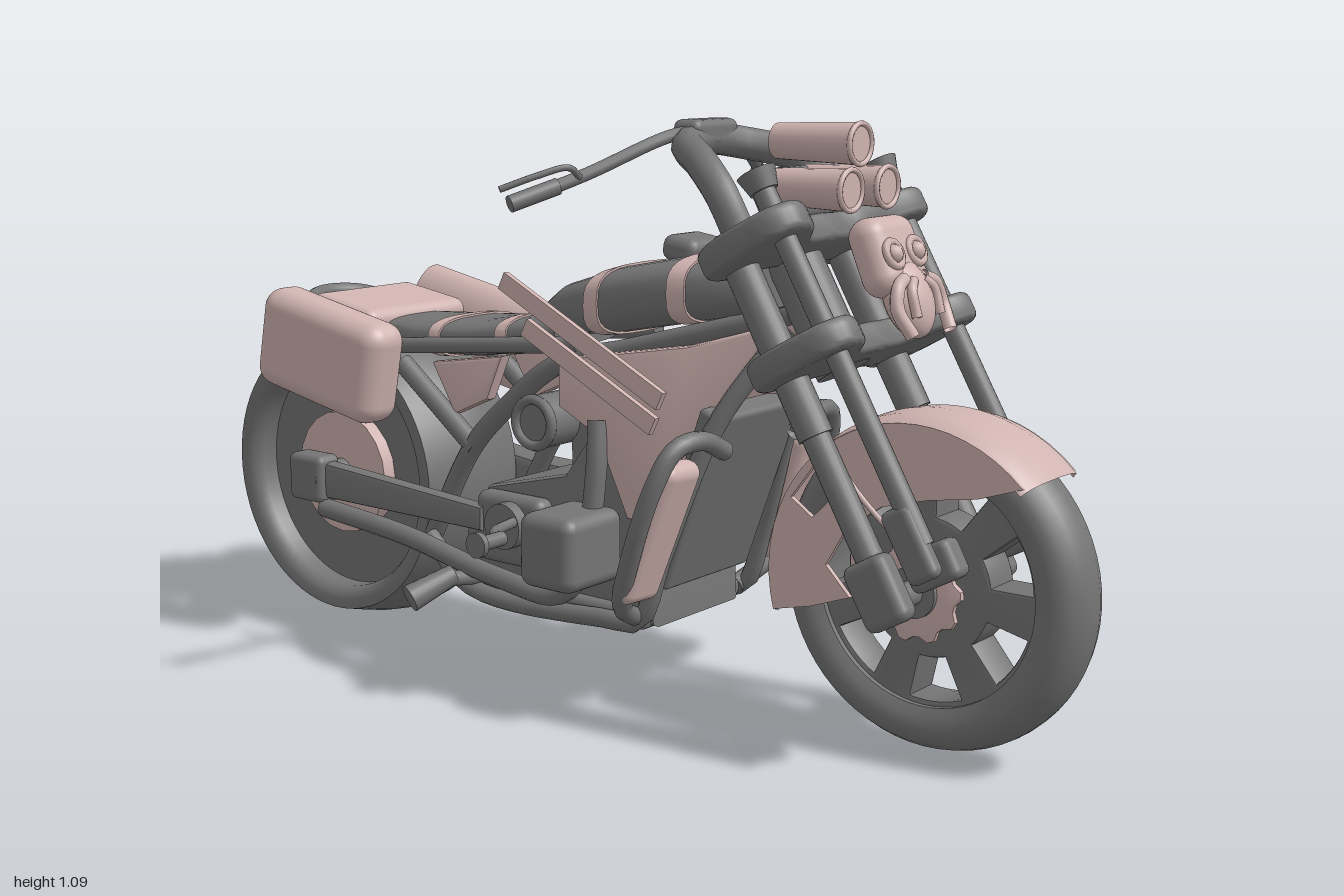
import * as THREE from 'three';
import { toCreasedNormals } from 'three/addons/utils/BufferGeometryUtils.js';
import { RoundedBoxGeometry } from 'three/addons/geometries/RoundedBoxGeometry.js';

const V = (p) => new THREE.Vector3(...p);
const dark = new THREE.MeshStandardMaterial({ color: 0x757575, side: THREE.DoubleSide });
const pink = new THREE.MeshStandardMaterial({ color: 0xcfb3b0, side: THREE.DoubleSide });

function add(parent, name, geo, mat = dark, pos = [0, 0, 0], rot = [0, 0, 0]) {
  const m = new THREE.Mesh(geo, mat);
  m.name = name;
  m.position.set(...pos);
  m.rotation.set(...rot);
  parent.add(m);
  return m;
}
// straight round bar between two points
function bar(parent, name, a, b, r0, r1 = r0, mat = dark) {
  const d = V(b).sub(V(a));
  const m = add(parent, name, new THREE.CylinderGeometry(r1, r0, d.length(), 20), mat);
  m.position.copy(V(a).add(V(b)).multiplyScalar(0.5));
  m.quaternion.setFromUnitVectors(V([0, 1, 0]), d.normalize());
  return m;
}
// bent pipe through points
const pipe = (parent, name, pts, r, mat = dark) =>
  add(parent, name, new THREE.TubeGeometry(new THREE.CatmullRomCurve3(pts.map(V), false, 'centripetal'), 32, r, 10), mat);
// side outline given in (z, y), with its thickness centred on x
function slab(parent, name, pts, x, depth, mat = dark, bevel = 0.008, holes = []) {
  const s = new THREE.Shape(pts.map((p) => new THREE.Vector2(...p)));
  for (const h of holes) s.holes.push(new THREE.Path(h.map((p) => new THREE.Vector2(...p))));
  const g = new THREE.ExtrudeGeometry(s, { depth: depth - 2 * bevel, bevelEnabled: bevel > 0, bevelSize: bevel, bevelThickness: bevel, bevelOffset: -bevel, bevelSegments: 2 });
  g.translate(0, 0, bevel - depth / 2).rotateY(-Math.PI / 2);
  return add(parent, name, toCreasedNormals(g, 0.6), mat, [x, 0, 0]);
}
// body lofted through [z, bottom, top, half width] sections, front to back
function loft(sections, grow = 0) {
  const N = 28, pos = [], idx = [], e = 0.65;
  const pw = (v) => Math.sign(v) * Math.abs(v) ** e;
  const rings = [[...sections[0], 0], ...sections.map((s) => [...s, 1]), [...sections.at(-1), 0]];
  rings.forEach(([z, lo, hi, w, k], i) => {
    for (let j = 0; j <= N; j++) {
      const t = (j / N) * Math.PI * 2;
      pos.push(k * (w + grow) * pw(Math.cos(t)), (lo + hi) / 2 + k * ((hi - lo) / 2 + grow) * pw(Math.sin(t)), z);
      if (i < rings.length - 1 && j < N) {
        const a = i * (N + 1) + j, c = a + N + 1;
        idx.push(a, c, a + 1, a + 1, c, c + 1);
      }
    }
  });
  const g = new THREE.BufferGeometry();
  g.setAttribute('position', new THREE.Float32BufferAttribute(pos, 3));
  g.setIndex(idx);
  return toCreasedNormals(g.toNonIndexed(), 0.7);
}
// thin slice of a loft, slightly larger than the body
function band(sections, z0, z1) {
  const at = (z) => {
    const i = Math.max(1, sections.findIndex((s) => s[0] <= z));
    const a = sections[i - 1], b = sections[i], t = (z - a[0]) / (b[0] - a[0]);
    return a.map((v, k) => v + (b[k] - v) * t);
  };
  return loft([at(z0), at(z1)], 0.004);
}
// tyre from one half of its section, as [radius, half width] from bead to crown
function tyre(half) {
  const pts = [...half.map(([r, w]) => [r, -w]), ...half.slice(0, -1).reverse(), [half[0][0], -half[0][1]]];
  const g = new THREE.LatheGeometry(pts.map((p) => new THREE.Vector2(...p)), 64).rotateZ(Math.PI / 2);
  return toCreasedNormals(g.toNonIndexed(), 0.75);
}
const polar = (r, a) => [r * Math.cos(a), r * Math.sin(a)];
const arc = (r, a, b, n) => Array.from({ length: n + 1 }, (_, i) => polar(r, a + ((b - a) * i) / n));

export function createModel() {
  const bike = new THREE.Group();
  bike.name = 'motorcycle';
  const sides = [1, -1];

  // front wheel with seven window openings
  const front = new THREE.Group();
  front.name = 'frontWheel';
  front.position.set(0, 0.303, 0.706);
  bike.add(front);
  add(front, 'frontTyre', tyre([[0.21, 0.05], [0.225, 0.06], [0.245, 0.067], [0.262, 0.063], [0.277, 0.051], [0.287, 0.035], [0.293, 0.016], [0.294, 0]]));
  const windows = Array.from({ length: 7 }, (_, i) => {
    const a = -Math.PI / 2 + 0.12 + (i * Math.PI * 2) / 7;
    return [...arc(0.2, a - 0.25, a + 0.25, 6), ...arc(0.125, a + 0.2, a - 0.2, 4)];
  });
  slab(front, 'frontRim', arc(0.225, 0, Math.PI * 2, 48).slice(0, 48), 0, 0.08, dark, 0.006, windows);
  bar(front, 'frontAxle', [-0.2, 0, 0], [0.2, 0, 0], 0.022);
  bar(front, 'frontHub', [-0.09, 0, 0], [0.09, 0, 0], 0.045);
  const teeth = Array.from({ length: 40 }, (_, i) => polar(i % 4 < 2 ? 0.09 : 0.079, (i / 40) * Math.PI * 2));
  for (const s of sides) {
    slab(front, 'brakeDisc', teeth, s * 0.075, 0.012, pink, 0.002);
    add(front, 'brakeCaliper', new RoundedBoxGeometry(0.05, 0.07, 0.1, 2, 0.015), dark, [s * 0.135, 0.07, 0.07], [-0.5, 0, 0]);
    // fender cheek with one opening
    slab(front, 'fenderCheek', [...arc(0.29, 0.8, 3.42, 24), [-0.2, -0.06], [-0.12, -0.03], [-0.17, 0.02], [-0.13, 0.09], [-0.06, 0.14], [0.03, 0.165], [0.12, 0.18]],
      s * 0.088, 0.01, pink, 0, [[[-0.16, 0.14], [-0.2, 0.19], [-0.245, 0.13], [-0.2, 0.1]]]);
  }
  const fender = [[0.278, -0.093], [0.292, -0.085], [0.301, -0.05], [0.304, 0], [0.301, 0.05], [0.292, 0.085], [0.278, 0.093]].map((p) => new THREE.Vector2(...p));
  add(front, 'frontFender', new THREE.LatheGeometry(fender, 36, 0.78, 2.65).rotateZ(Math.PI / 2), pink);

  // rear wheel with deep-set dish
  const rear = new THREE.Group();
  rear.name = 'rearWheel';
  rear.position.set(0, 0.318, -0.682);
  bike.add(rear);
  add(rear, 'rearTyre', tyre([[0.245, 0.105], [0.255, 0.122], [0.27, 0.129], [0.29, 0.13], [0.301, 0.09], [0.312, 0.045], [0.318, 0]]));
  bar(rear, 'rearDish', [-0.07, 0, 0], [0.07, 0, 0], 0.25);
  bar(rear, 'rearAxle', [-0.2, 0, 0], [0.2, 0, 0], 0.03);
  bar(rear, 'rearSprocket', [-0.1, 0, 0], [-0.06, 0, 0], 0.13, 0.13, pink);

  // fork, built upright along its own axis and raked back
  const fork = new THREE.Group();
  fork.name = 'fork';
  fork.position.copy(front.position);
  fork.rotation.x = -Math.PI / 6;
  bike.add(fork);
  const half = [[0, 0.1], [0.07, 0.1], [0.13, 0.15], [0.19, 0.175], [0.235, 0.15], [0.25, 0.1], [0.25, 0.02], [0.22, -0.035], [0.16, -0.05], [0.08, -0.02], [0, -0.02]];
  const loop = [...half, ...half.slice(1, -1).reverse().map(([x, z]) => [-x, z])].map(([x, z]) => V([x, z, 0]));
  const outline = new THREE.CatmullRomCurve3(loop, true).getPoints(72).slice(0, 72).map((p) => new THREE.Vector2(p.x, p.y));
  for (const y of [0.662, 0.452]) {
    const g = new THREE.ExtrudeGeometry(new THREE.Shape(outline), { depth: 0.024, bevelSize: 0.015, bevelThickness: 0.015, bevelOffset: -0.015, bevelSegments: 4 });
    add(fork, 'forkClamp', toCreasedNormals(g.rotateX(Math.PI / 2), 0.7), dark, [0, y - 0.012, 0]);
  }
  bar(fork, 'steeringHead', [0, 0.4, 0], [0, 0.66, 0], 0.05);
  for (const s of sides) {
    bar(fork, 'frontForkTube', [s * 0.19, 0.06, 0.125], [s * 0.19, 0.72, 0.125], 0.02);
    bar(fork, 'forkCap', [s * 0.19, 0.7, 0.125], [s * 0.19, 0.735, 0.125], 0.025, 0.035);
    bar(fork, 'rearForkTube', [s * 0.16, 0.03, 0], [s * 0.16, 0.68, 0], 0.025);
    bar(fork, 'forkSleeve', [s * 0.16, 0.3, 0], [s * 0.16, 0.62, 0], 0.031);
    add(fork, 'forkFoot', new RoundedBoxGeometry(0.05, 0.12, 0.09, 2, 0.018), dark, [s * 0.175, 0.02, 0]);
    add(fork, 'forkToe', new RoundedBoxGeometry(0.035, 0.13, 0.06, 2, 0.014), dark, [s * 0.195, 0.07, 0.11]);
  }

  // horned mask between the clamps
  const mask = new THREE.Group();
  mask.name = 'faceMask';
  mask.position.set(0, 0.82, 0.605);
  mask.rotation.x = -0.4;
  bike.add(mask);
  add(mask, 'maskBrow', new RoundedBoxGeometry(0.145, 0.14, 0.07, 5, 0.034), pink, [0, 0.04, 0]);
  add(mask, 'maskMuzzle', new THREE.SphereGeometry(0.055, 20, 14).scale(0.95, 1.3, 0.7), pink, [0, -0.04, 0.012]);
  for (const s of sides) {
    add(mask, 'maskEyeRing', new THREE.TorusGeometry(0.022, 0.007, 8, 20), pink, [s * 0.036, 0.035, 0.035]);
    add(mask, 'maskEye', new THREE.SphereGeometry(0.017, 14, 10), pink, [s * 0.036, 0.035, 0.034]);
    pipe(mask, 'maskTusk', [[s * 0.03, -0.01, 0.035], [s * 0.06, -0.025, 0.036], [s * 0.073, -0.06, 0.03], [s * 0.062, -0.11, 0.035]], 0.012, pink);
    pipe(mask, 'maskInnerTusk', [[s * 0.015, -0.015, 0.042], [s * 0.035, -0.035, 0.045], [s * 0.038, -0.08, 0.04]], 0.009, pink);
  }

  // three tubular lamps
  for (const [x, y, z] of [[0, 1.045, 0.54], [0.058, 0.97, 0.56], [-0.058, 0.97, 0.56]]) {
    bar(bike, 'lampTube', [x, y, z - 0.18], [x, y, z - 0.01], 0.032, 0.037, pink);
    add(bike, 'lampRim', new THREE.TorusGeometry(0.035, 0.005, 8, 24), pink, [x, y, z - 0.01]);
  }
  add(bike, 'lampBracket', new RoundedBoxGeometry(0.17, 0.1, 0.06, 2, 0.02), dark, [0, 0.95, 0.39], [-0.5, 0, 0]);

  // handlebar, grips and levers
  pipe(bike, 'handlebarRiser', [[0.16, 0.88, 0.4], [0.168, 0.96, 0.36], [0.145, 1.01, 0.3], [0.08, 1.035, 0.22], [0, 1.045, 0.2],
    [-0.08, 1.035, 0.22], [-0.145, 1.01, 0.3], [-0.168, 0.96, 0.36], [-0.16, 0.88, 0.4]], 0.03);
  add(bike, 'handlebarClamp', new RoundedBoxGeometry(0.13, 0.05, 0.06, 2, 0.015), dark, [0, 1.055, 0.2]);
  for (const s of sides) {
    pipe(bike, 'handlebar', [[0, 1.06, 0.2], [s * 0.1, 1.05, 0.19], [s * 0.25, 0.99, 0.13], [s * 0.37, 0.945, 0.07]], 0.012);
    bar(bike, 'grip', [s * 0.3, 0.97, 0.105], [s * 0.38, 0.942, 0.065], 0.015);
    pipe(bike, 'lever', [[s * 0.27, 0.985, 0.13], [s * 0.3, 1.003, 0.13], [s * 0.35, 0.99, 0.1], [s * 0.4, 0.968, 0.06]], 0.006);
  }

  // tank and seat with contrasting bands
  const tank = [[0.37, 0.75, 0.83, 0.08], [0.33, 0.735, 0.84, 0.11], [0.2, 0.71, 0.835, 0.135], [0.05, 0.68, 0.805, 0.14], [-0.06, 0.665, 0.77, 0.125], [-0.11, 0.68, 0.735, 0.1]];
  add(bike, 'tank', loft(tank));
  add(bike, 'tankBand', band(tank, 0.25, 0.215), pink);
  add(bike, 'tankBand', band(tank, 0.06, 0.025), pink);
  add(bike, 'fillerCap', new RoundedBoxGeometry(0.11, 0.05, 0.08, 2, 0.02), dark, [0.02, 0.84, 0.16], [0.15, 0, 0]);
  const seat = [[-0.08, 0.64, 0.705, 0.1], [-0.16, 0.625, 0.695, 0.115], [-0.3, 0.6, 0.675, 0.115], [-0.45, 0.59, 0.665, 0.115], [-0.54, 0.6, 0.66, 0.1]];
  add(bike, 'seat', loft(seat));
  add(bike, 'seatBand', band(seat, -0.19, -0.22), pink);
  add(bike, 'seatBand', band(seat, -0.37, -0.4), pink);
  add(bike, 'tailBox', new RoundedBoxGeometry(0.29, 0.07, 0.19, 4, 0.025), pink, [0, 0.655, -0.635], [0.15, 0, 0]);
  pipe(bike, 'grabRail', [[0.12, 0.63, -0.55], [0.115, 0.655, -0.7], [0.07, 0.68, -0.79], [0, 0.685, -0.815], [-0.07, 0.68, -0.79], [-0.115, 0.655, -0.7], [-0.12, 0.63, -0.55]], 0.015);

  // luggage: oval tube on one side, rounded case on the other
  const tube = new THREE.Group();
  tube.name = 'luggageTube';
  tube.position.set(0.225, 0.597, -0.575);
  tube.rotation.x = 0.19;
  tube.scale.x = 0.63;
  bike.add(tube);
  add(tube, 'luggageTubeWall', new THREE.CylinderGeometry(0.103, 0.103, 0.325, 40, 1, true).rotateX(Math.PI / 2), pink);
  for (const s of sides) add(tube, 'luggageTubeEnd', new THREE.CircleGeometry(0.103, 40), pink, [0, 0, s * 0.155]);
  add(bike, 'luggageCase', new RoundedBoxGeometry(0.105, 0.205, 0.34, 6, 0.04), pink, [-0.22, 0.597, -0.578], [0.19, 0, 0]);

  // engine block and belly pan
  slab(bike, 'crankcase', [[0.19, 0.15], [-0.28, 0.17], [-0.29, 0.26], [-0.23, 0.36], [-0.03, 0.41], [0.05, 0.52], [0.09, 0.53], [0.13, 0.44], [0.18, 0.33]], 0, 0.27, dark, 0.015);
  slab(bike, 'cylinderBlock', [[0.2, 0.4], [-0.06, 0.38], [-0.07, 0.62], [0.2, 0.68]], 0, 0.15);
  add(bike, 'bellyPan', new RoundedBoxGeometry(0.31, 0.04, 0.46, 2, 0.015), dark, [0, 0.165, -0.05]);
  add(bike, 'radiator', new RoundedBoxGeometry(0.26, 0.36, 0.05, 2, 0.01), dark, [0, 0.4, 0.25], [0.35, 0, 0]);
  for (const s of sides) {
    add(bike, 'cylinderHead', new RoundedBoxGeometry(0.16, 0.14, 0.13, 3, 0.025), dark, [s * 0.212, 0.3, 0.055]);
    add(bike, 'rockerCover', new RoundedBoxGeometry(0.05, 0.14, 0.17, 3, 0.02), dark, [s * 0.15, 0.29, -0.14]);
    pipe(bike, 'intakePipe', [[s * 0.17, 0.34, 0.07], [s * 0.16, 0.46, 0.075], [s * 0.15, 0.53, 0.07]], 0.02);
    bar(bike, 'airCleaner', [s * 0.05, 0.505, -0.09], [s * 0.15, 0.505, -0.09], 0.052);
    add(bike, 'airCleanerRim', new THREE.TorusGeometry(0.045, 0.01, 8, 28), dark, [s * 0.15, 0.505, -0.09], [0, Math.PI / 2, 0]);

    // shrouds narrowing to the steering head, and radiator guards
    const shroud = slab(bike, 'tankShroud', [[0.42, 0.73], [0.25, 0.68], [-0.01, 0.64], [-0.01, 0.55], [0.07, 0.5], [0.13, 0.35], [0.19, 0.34], [0.3, 0.56]], s * 0.16, 0.03, pink);
    shroud.rotation.y = -s * 0.25;
    add(bike, 'radiatorGuard', new RoundedBoxGeometry(0.105, 0.28, 0.05, 5, 0.024), pink, [s * 0.213, 0.36, 0.255], [0.35, 0, s * 0.06]);
    pipe(bike, 'crashBar', [[s * 0.11, 0.5, 0.33], [s * 0.18, 0.53, 0.33], [s * 0.245, 0.52, 0.32], [s * 0.275, 0.46, 0.3], [s * 0.275, 0.33, 0.25], [s * 0.24, 0.22, 0.2], [s * 0.15, 0.17, 0.17]], 0.018);

    // frame rails
    pipe(bike, 'downTube', [[s * 0.05, 0.72, 0.42], [s * 0.12, 0.55, 0.32], [s * 0.16, 0.3, 0.23], [s * 0.165, 0.17, 0.18], [s * 0.165, 0.16, 0.1], [s * 0.165, 0.16, -0.25], [s * 0.15, 0.24, -0.37]], 0.018);
    pipe(bike, 'backboneRail', [[s * 0.06, 0.73, 0.36], [s * 0.1, 0.66, 0.1], [s * 0.12, 0.62, -0.05], [s * 0.13, 0.52, -0.18], [s * 0.13, 0.43, -0.27], [s * 0.13, 0.24, -0.38]], 0.02);
    bar(bike, 'seatRail', [s * 0.12, 0.66, 0.0], [s * 0.12, 0.6, -0.6], 0.016);
    bar(bike, 'seatStay', [s * 0.13, 0.43, -0.26], [s * 0.13, 0.58, -0.46], 0.02);
    slab(bike, 'sidePanel', [[-0.19, 0.62], [-0.38, 0.59], [-0.32, 0.49], [-0.23, 0.53]], s * 0.115, 0.03, pink);

    // foot pegs
    bar(bike, 'pegArm', [s * 0.15, 0.18, -0.23], [s * 0.23, 0.19, -0.24], 0.015);
    bar(bike, 'footPeg', [s * 0.22, 0.197, -0.24], [s * 0.305, 0.16, -0.275], 0.02, 0.027);
  }

  // broad swingarm on one side, slim arm and exhaust on the other
  slab(bike, 'swingarm', [[-0.08, 0.29], [-0.11, 0.265], [-0.35, 0.265], [-0.6, 0.25], ...arc(0.075, -1.9, -4.5, 12).map(([a, b]) => [-0.675 + a, 0.318 + b]), [-0.6, 0.38], [-0.35, 0.35], [-0.11, 0.345], [-0.08, 0.32]], 0.175, 0.075, dark, 0.02);
  slab(bike, 'slimArm', [[-0.2, 0.28], [-0.7, 0.28], [-0.75, 0.31], [-0.7, 0.36], [-0.2, 0.33]], -0.165, 0.04, dark, 0.012);
  add(bike, 'axleBlock', new RoundedBoxGeometry(0.06, 0.1, 0.1, 2, 0.015), dark, [-0.17, 0.32, -0.69]);
  pipe(bike, 'exhaust', [[-0.19, 0.27, 0.08], [-0.2, 0.2, 0.02], [-0.19, 0.2, -0.15], [-0.185, 0.24, -0.4], [-0.18, 0.26, -0.65]], 0.02);
  bar(bike, 'crossShaft', [-0.2, 0.305, -0.13], [0.21, 0.305, -0.13], 0.045);

  // shift pedal, linkage plates and hose
  pipe(bike, 'pedalArm', [[-0.19, 0.32, -0.1], [-0.26, 0.315, -0.09], [-0.3, 0.315, -0.05]], 0.01);
  bar(bike, 'pedal', [-0.29, 0.315, -0.045], [-0.36, 0.315, -0.045], 0.014);
  bar(bike, 'pedalEnd', [-0.35, 0.315, -0.045], [-0.362, 0.315, -0.045], 0.024);
  for (const [y, z, length] of [[0.685, 0.06, 0.42], [0.62, 0.08, 0.34]])
    add(bike, 'linkagePlate', new THREE.BoxGeometry(0.012, 0.035, length), pink, [-0.19, y, z], [0.46, 0, 0]);
  pipe(bike, 'brakeHose', [[-0.13, 0.7, 0.49], [-0.135, 0.5, 0.6], [-0.12, 0.38, 0.72]], 0.005, pink);
  return bike;
}
